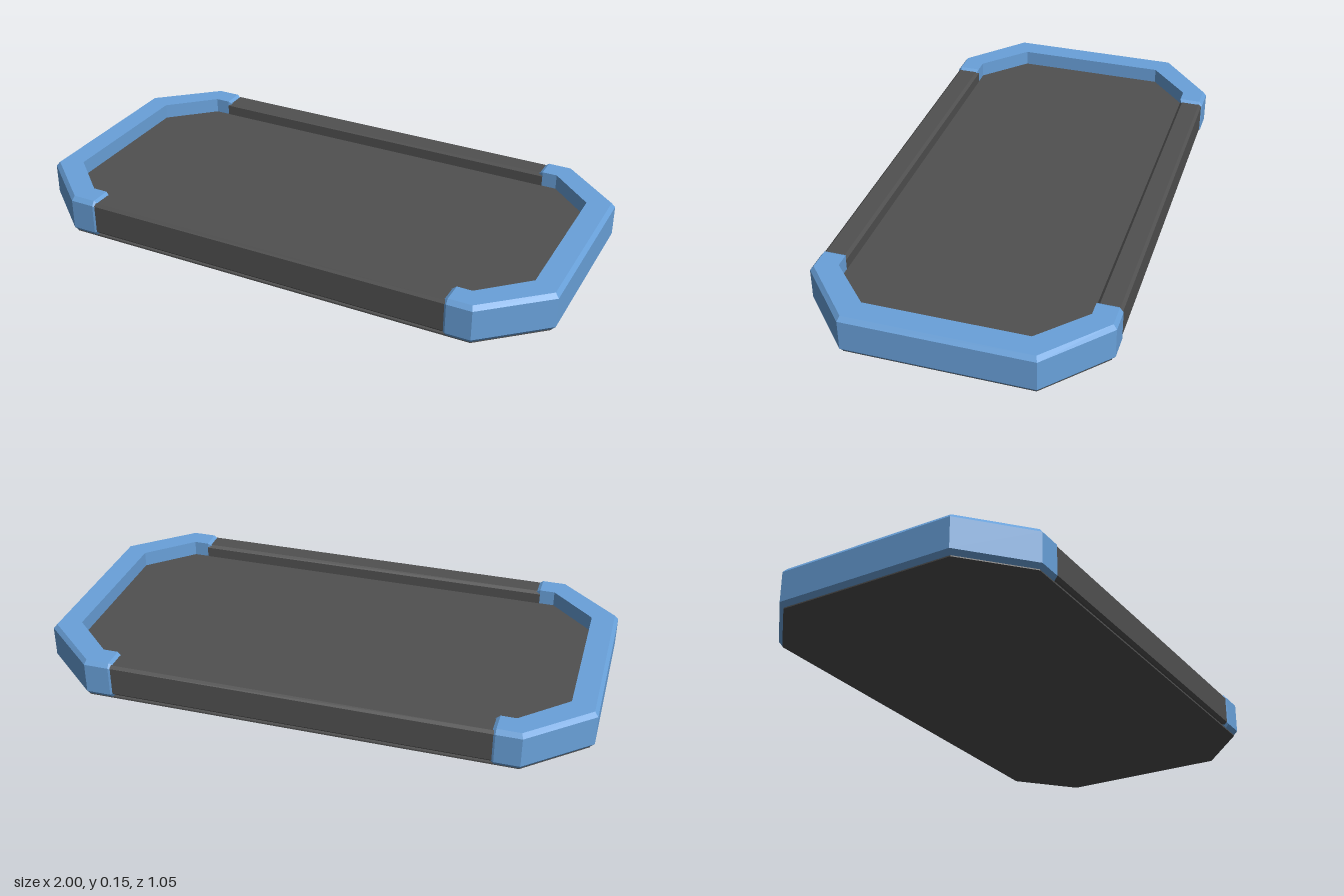
import * as THREE from 'three';

// Outer and inner corner paths of one end rim, front to back: [outerX, outerZ, innerX, innerZ, scale]
const half = [
  [0.675, 0.525, 0.675, 0.435, 0.86],
  [0.69, 0.525, 0.69, 0.435, 1],
  [0.78, 0.525, 0.745, 0.435, 1],
  [1.0, 0.33, 0.905, 0.285, 1],
];
const stations = [...half, ...half.slice().reverse().map(([a, b, c, d, s]) => [a, -b, c, -d, s])];

// Rim cross-section: [fraction from outer to inner edge, height]
const profile = [[0.14, 0.004], [0, 0.02], [0, 0.131], [0.14, 0.147], [1, 0.147], [1, 0.004]];

function rimGeometry() {
  const rings = stations.map(([ox, oz, ix, iz, s]) => profile.map(([t, y]) => {
    const u = 0.5 + (t - 0.5) * s;
    return [ox + (ix - ox) * u, 0.0755 + (y - 0.0755) * s, oz + (iz - oz) * u];
  }));
  const pos = [];
  const tri = (a, b, c) => pos.push(...a, ...b, ...c);
  const n = profile.length;
  for (let i = 0; i < rings.length - 1; i++) {
    for (let j = 0; j < n; j++) {
      const k = (j + 1) % n, p = rings[i], q = rings[i + 1];
      tri(p[j], q[j], q[k]);
      tri(p[j], q[k], p[k]);
    }
  }
  // End caps
  const first = rings[0], last = rings[rings.length - 1];
  for (let j = 1; j < n - 1; j++) {
    tri(first[0], first[j], first[j + 1]);
    tri(last[0], last[j + 1], last[j]);
  }
  const g = new THREE.BufferGeometry();
  g.setAttribute('position', new THREE.Float32BufferAttribute(pos, 3));
  g.computeVertexNormals();
  return g;
}

// Flat octagonal slab lying between two heights
function slabGeometry(x, z, cornerX, cornerZ, y0, y1) {
  const shape = new THREE.Shape([
    [cornerX, z], [x, cornerZ], [x, -cornerZ], [cornerX, -z],
    [-cornerX, -z], [-x, -cornerZ], [-x, cornerZ], [-cornerX, z],
  ].map(([a, b]) => new THREE.Vector2(a, b)));
  const g = new THREE.ExtrudeGeometry(shape, { depth: y1 - y0, bevelEnabled: false });
  g.rotateX(-Math.PI / 2);
  g.translate(0, y0, 0);
  return g;
}

// Side rail with chamfered long edges, running along x
function railGeometry() {
  const w = 0.044, h = 0.062, c = 0.01;
  const shape = new THREE.Shape([
    [-w + c, -h], [w - c, -h], [w, -h + c], [w, h - c],
    [w - c, h], [-w + c, h], [-w, h - c], [-w, -h + c],
  ].map(([a, b]) => new THREE.Vector2(a, b)));
  const g = new THREE.ExtrudeGeometry(shape, { depth: 1.38, bevelEnabled: false });
  g.translate(0, 0, -0.69);
  g.rotateY(Math.PI / 2);
  return g;
}

export function createModel() {
  const blue = new THREE.MeshStandardMaterial({ color: 0x69a1da });
  blue.name = 'blue';
  const charcoal = new THREE.MeshStandardMaterial({ color: 0x505050 });
  charcoal.name = 'charcoal';

  const model = new THREE.Group();
  model.name = 'tray';
  const add = (name, geometry, material) => {
    const mesh = new THREE.Mesh(geometry, material);
    mesh.name = name;
    model.add(mesh);
    return mesh;
  };

  // Floor and the base sheet beneath it
  add('floor', slabGeometry(0.95, 0.48, 0.76, 0.31, 0.006, 0.09), charcoal);
  add('baseSheet', slabGeometry(0.985, 0.512, 0.775, 0.325, 0, 0.006), charcoal);

  // Blue rims wrapping both ends
  const rim = rimGeometry();
  add('leftRim', rim, blue);
  add('rightRim', rim, blue).rotation.y = Math.PI;

  // Long side rails
  const rail = railGeometry();
  for (const [name, side] of [['frontRail', 1], ['backRail', -1]]) {
    add(name, rail, charcoal).position.set(0, 0.077, side * 0.478);
  }
  return model;
}
